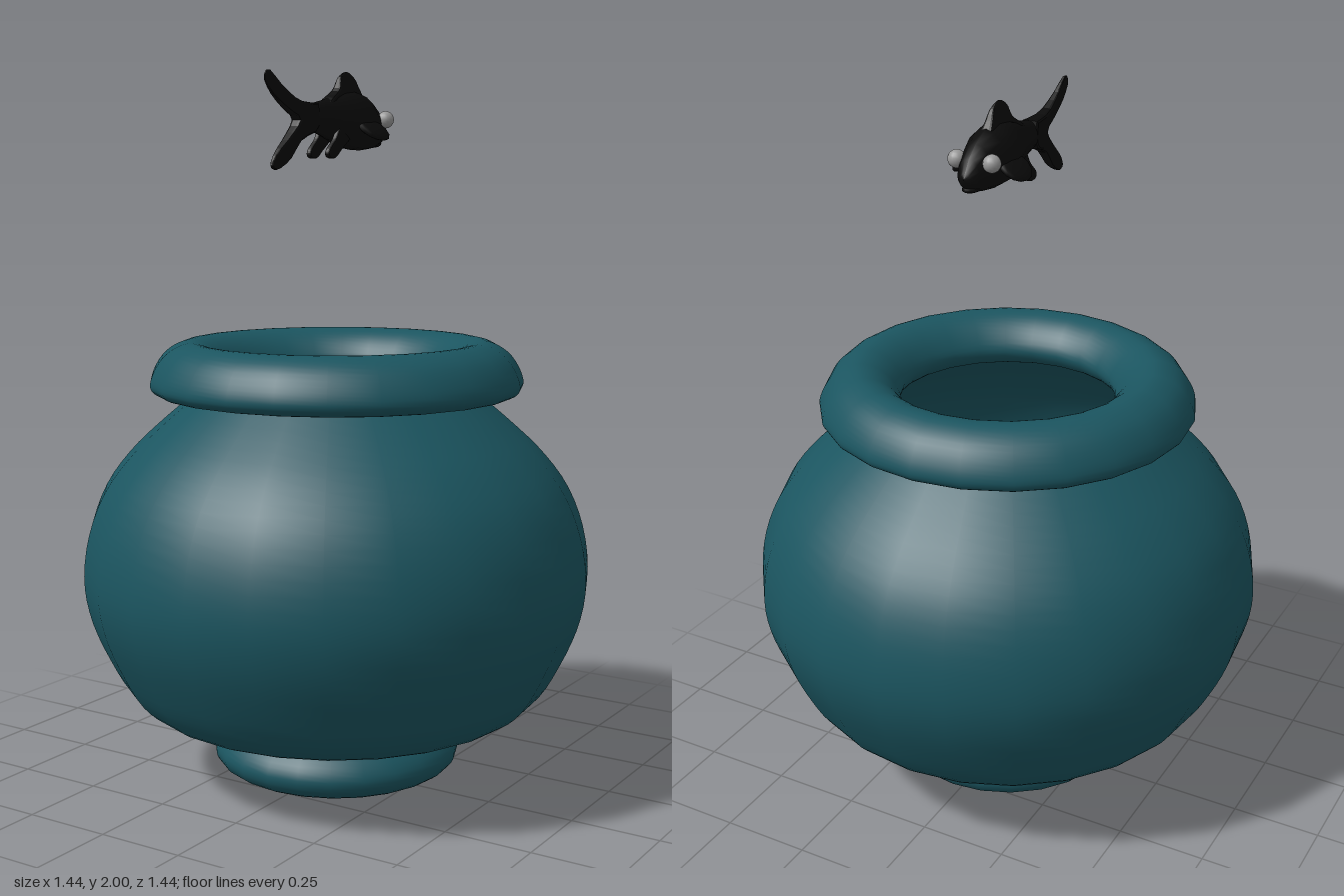
import * as THREE from 'three';

const mat = (color) => new THREE.MeshStandardMaterial({ color, side: THREE.DoubleSide });
const teal = mat(0x1b5560), black = mat(0x0a0a0a), grey = mat(0x999999);

function add(parent, name, geometry, material) {
  const mesh = new THREE.Mesh(geometry, material);
  mesh.name = name;
  parent.add(mesh);
  return mesh;
}

// Smooth turned form from [radius, height] points
function turned(points, samples, closed = false) {
  const pts = points.map(([r, y]) => new THREE.Vector3(r, y, 0));
  const curve = new THREE.CatmullRomCurve3(pts, closed, 'centripetal');
  return new THREE.LatheGeometry(curve.getPoints(samples).map((p) => new THREE.Vector2(p.x, p.y)), 24);
}

// Oval sections along z: [z, bottom, top, half width]; the widest point sits low
function loft(stations) {
  const n = stations.length - 1;
  const g = new THREE.CylinderGeometry(1, 1, 1, 16, n, true);
  const p = g.attributes.position;
  for (let i = 0; i < p.count; i++) {
    const [z, lo, hi, w] = stations[Math.round((0.5 - p.getY(i)) * n)];
    const up = p.getZ(i);
    const mid = lo + (hi - lo) * 0.42;
    p.setXYZ(i, p.getX(i) * w, mid + up * (up > 0 ? hi - mid : mid - lo), z);
  }
  g.computeVertexNormals();
  return g;
}

// Thin upright fin outlined by [z, y] points; thickness(z, y) gives its half width
function fin(points, thickness) {
  const pts = points.map(([z, y]) => new THREE.Vector2(-z, y));
  const shape = new THREE.Shape(new THREE.SplineCurve([...pts, pts[0]]).getPoints(36));
  const g = new THREE.ExtrudeGeometry(shape, {
    depth: 1, bevelEnabled: true, bevelThickness: 0.5, bevelSize: 0.006, bevelOffset: -0.006, bevelSegments: 2,
  });
  g.translate(0, 0, -0.5).rotateY(Math.PI / 2);
  const p = g.attributes.position;
  for (let i = 0; i < p.count; i++) p.setX(i, p.getX(i) * thickness(p.getZ(i), p.getY(i)));
  g.computeVertexNormals();
  return g;
}

function createBowl() {
  const bowl = new THREE.Group();
  bowl.name = 'bowl';
  add(bowl, 'foot', turned([
    [0, 0.005], [0.18, 0.006], [0.28, 0.018], [0.34, 0.05], [0.353, 0.085],
    [0.335, 0.125], [0.29, 0.165], [0.235, 0.197],
  ], 24), teal);
  // Body with an opening in its floor above the foot
  add(bowl, 'body', turned([
    [0.18, 0.196], [0.42, 0.196], [0.52, 0.215], [0.59, 0.27], [0.65, 0.37], [0.7, 0.49],
    [0.718, 0.6], [0.702, 0.73], [0.655, 0.85], [0.58, 0.95], [0.49, 1.035], [0.395, 1.115],
  ], 36), teal);
  add(bowl, 'rim', turned([
    [0.395, 1.113], [0.5, 1.113], [0.525, 1.135], [0.518, 1.175], [0.48, 1.23],
    [0.42, 1.259], [0.37, 1.25], [0.325, 1.215], [0.3, 1.165], [0.325, 1.125],
  ], 40, true), teal);
  return bowl;
}

function createFish() {
  const fish = new THREE.Group();
  fish.name = 'fish';
  add(fish, 'fishBody', loft([
    [-0.232, 1.835, 1.84, 0], [-0.226, 1.815, 1.853, 0.016], [-0.205, 1.803, 1.885, 0.034],
    [-0.17, 1.792, 1.915, 0.048], [-0.12, 1.787, 1.94, 0.065], [-0.07, 1.788, 1.95, 0.07],
    [-0.02, 1.797, 1.945, 0.058], [0.03, 1.812, 1.93, 0.042], [0.08, 1.825, 1.918, 0.031],
    [0.13, 1.836, 1.908, 0.024], [0.18, 1.845, 1.9, 0.019], [0.2, 1.87, 1.872, 0],
  ]), black);

  // Lower jaw
  const jaw = add(fish, 'jaw', new THREE.SphereGeometry(1, 12, 8), black);
  jaw.scale.set(0.024, 0.012, 0.045);
  jaw.position.set(0, 1.807, -0.182);

  add(fish, 'dorsalFin', fin([
    [-0.13, 1.92], [-0.105, 1.955], [-0.085, 1.985], [-0.05, 2.0], [-0.015, 1.985],
    [0.005, 1.95], [0.06, 1.91], [-0.03, 1.89],
  ], (z, y) => 0.004 + Math.max(0, 2.0 - y) * 0.2), black);

  add(fish, 'tailFin', fin([
    [0.12, 1.91], [0.2, 1.915], [0.27, 1.95], [0.325, 1.988], [0.345, 1.965], [0.31, 1.925],
    [0.245, 1.888], [0.2, 1.865], [0.235, 1.825], [0.295, 1.775], [0.315, 1.742], [0.29, 1.732],
    [0.24, 1.758], [0.19, 1.81], [0.12, 1.84],
  ], (z) => 0.003 + Math.max(0, 0.34 - z) * 0.1), black);

  for (const side of [1, -1]) {
    const eye = add(fish, side > 0 ? 'leftEye' : 'rightEye', new THREE.SphereGeometry(0.024, 16, 12), grey);
    eye.position.set(side * 0.051, 1.873, -0.178);

    // Swept side fin, flaring outward and down
    const pectoral = add(fish, 'pectoralFin', new THREE.SphereGeometry(1, 14, 10), black);
    pectoral.scale.set(0.05, 0.016, 0.06);
    pectoral.position.set(side * 0.066, 1.845, -0.085);
    pectoral.rotation.z = -side * 0.65;

    const pelvic = add(fish, 'pelvicFin', fin([
      [-0.02, 1.82], [0.03, 1.785], [0.06, 1.764], [0.09, 1.766], [0.092, 1.785], [0.06, 1.815], [0.03, 1.85],
    ], () => 0.008), black);
    pelvic.position.x = side * 0.03;
  }
  return fish;
}

export function createModel() {
  const model = new THREE.Group();
  model.name = 'fishAboveBowl';
  model.add(createBowl(), createFish());
  return model;
}
